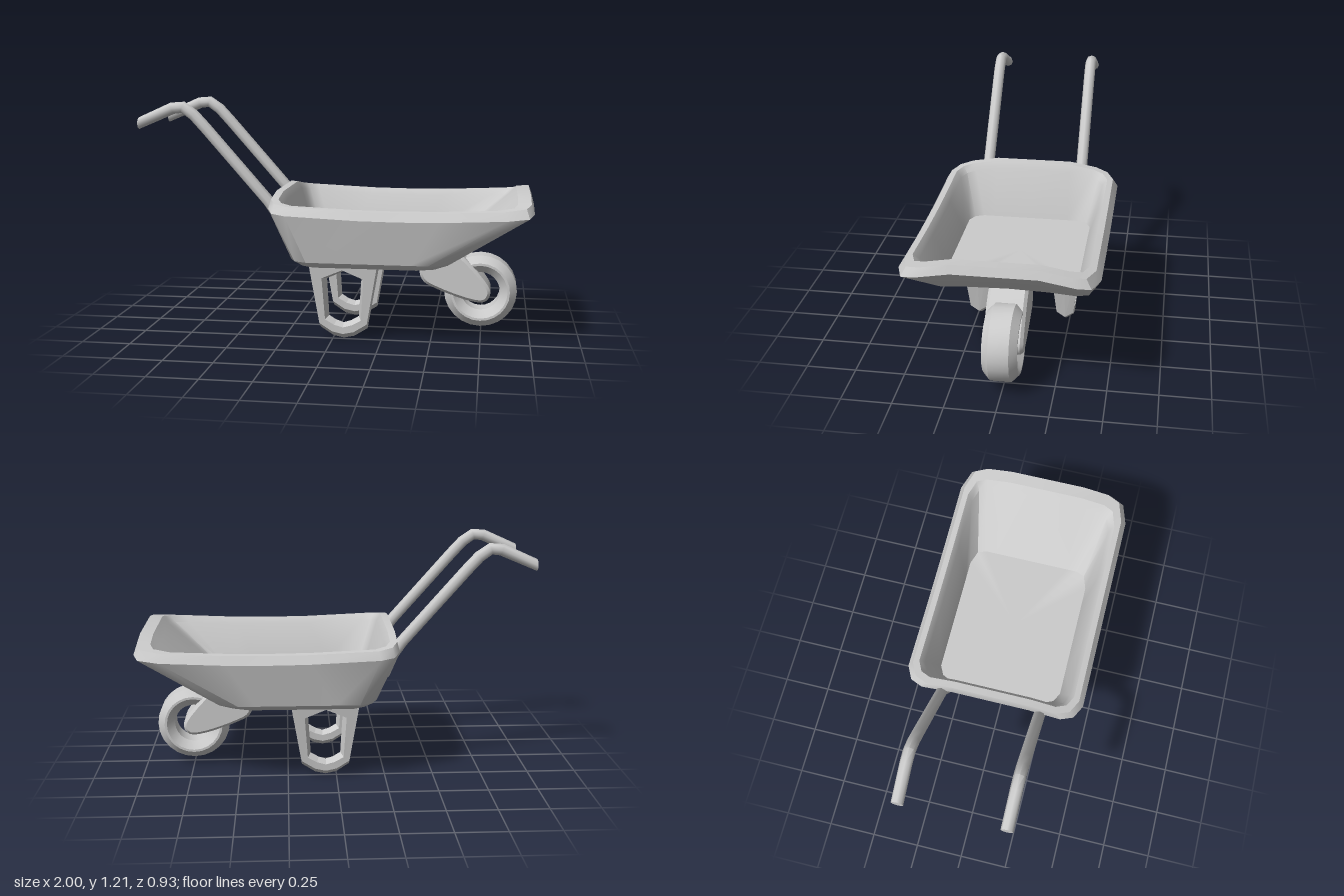
import * as THREE from 'three';
import { toCreasedNormals } from 'three/addons/utils/BufferGeometryUtils.js';

const material = new THREE.MeshStandardMaterial({ color: 0xcccccc });

// Skin a list of equal-length rings of [x, y, z]; either capped at both ends or joined in a loop.
function loft(rings, { closed = false, crease = 0.7 } = {}) {
  const n = rings[0].length, m = rings.length;
  const pos = rings.flat(2), index = [];
  for (let j = 0; j < (closed ? m : m - 1); j++) {
    for (let i = 0; i < n; i++) {
      const k = (i + 1) % n, up = (j + 1) % m;
      const a = j * n + i, b = j * n + k, c = up * n + i, d = up * n + k;
      index.push(a, c, b, b, c, d);
    }
  }
  if (!closed) {
    [0, m - 1].forEach((j) => {
      const centre = pos.length / 3;
      for (let axis = 0; axis < 3; axis++) {
        pos.push(rings[j].reduce((sum, p) => sum + p[axis], 0) / n);
      }
      for (let i = 0; i < n; i++) {
        const a = j * n + i, b = j * n + (i + 1) % n;
        index.push(centre, ...(j === 0 ? [a, b] : [b, a]));
      }
    });
  }
  const geo = new THREE.BufferGeometry();
  geo.setAttribute('position', new THREE.Float32BufferAttribute(pos, 3));
  geo.setIndex(index);
  return toCreasedNormals(geo, crease);
}

function part(name, geometry) {
  const mesh = new THREE.Mesh(geometry, material);
  mesh.name = name;
  return mesh;
}

// Chamfered rectangle from x0 to x1, half width w, with height given by y(x, z)
function tubRing(x0, x1, w, c, y) {
  const mid = (x0 + x1) / 2;
  const half = [
    [x1, 0], [x1, 0.2], [x1, w - c], [x1 - c * 0.25, w - c * 0.35], [x1 - c * 1.3, w],
    [mid + 0.2, w], [mid, w], [mid - 0.2, w],
    [x0 + c, w], [x0 + c * 0.3, w - c * 0.35], [x0, w - c], [x0, 0.2], [x0, 0],
  ];
  const mirrored = half.slice(1, -1).reverse().map(([x, z]) => [x, -z]);
  return [...half, ...mirrored].map(([x, z]) => [x, y(x, z), z]);
}

function makeTub() {
  const clamp = THREE.MathUtils.clamp;
  // The rim sags along the sides and rises at the middle of both ends
  const rim = (x, z) => 0.69 + 0.025 * ((x - 0.34) / 0.65) ** 2
    + 0.04 * clamp((0.43 - Math.abs(z)) / 0.23, 0, 1);
  const base = (x, z) => 0.43 - 0.035 * clamp((Math.abs(z) - 0.13) / 0.23, 0, 1);
  return loft([
    tubRing(-0.16, 0.54, 0.375, 0.08, base),
    tubRing(-0.2, 0.61, 0.42, 0.09, (x, z) => base(x, z) * 0.5 + 0.23),
    tubRing(-0.308, 1.0, 0.465, 0.1, (x, z) => rim(x, z) - 0.042),
    tubRing(-0.298, 0.985, 0.44, 0.1, rim),
    tubRing(-0.262, 0.92, 0.41, 0.08, rim),
    tubRing(-0.24, 0.885, 0.385, 0.07, (x, z) => rim(x, z) - 0.035),
    tubRing(-0.17, 0.62, 0.33, 0.07, () => 0.46),
  ]);
}

// Bent round bar in the xy plane
function makeHandle() {
  const path = [
    [-1, 1.095], [-0.82, 1.173], [-0.765, 1.178], [-0.71, 1.14], [-0.65, 1.075],
    [-0.33, 0.71], [-0.285, 0.645], [-0.24, 0.54],
  ].map(([x, y]) => new THREE.Vector2(x, y));
  const sides = 8, r = 0.03;
  return loft(path.map((p, j) => {
    const before = path[Math.max(j - 1, 0)], after = path[Math.min(j + 1, path.length - 1)];
    const t = after.clone().sub(before).normalize();
    // Keep the grip end upright
    if (j === 0) t.set(1, 0);
    return Array.from({ length: sides }, (_, i) => {
      const a = (i / sides) * Math.PI * 2;
      return [p.x - t.y * Math.cos(a) * r, p.y + t.x * Math.cos(a) * r, -Math.sin(a) * r];
    });
  }), { crease: 0.9 });
}

// Tapered leg with a hexagonal opening, ridged at the foot and inside the opening
function makeLeg() {
  const outer = [
    [-0.122, 0.44], [0.055, 0.44], [0.24, 0.44], [0.178, 0.055],
    [0.11, 0.012], [0.055, 0], [0, 0.012], [-0.066, 0.055],
  ];
  const hole = [
    [-0.05, 0.325], [0.055, 0.37], [0.163, 0.325], [0.148, 0.105],
    [0.1, 0.078], [0.055, 0.065], [0.01, 0.078], [-0.036, 0.105],
  ];
  const thick = (y) => 0.042 + (Math.max(y, 0.06) - 0.06) * 0.106;
  const rings = outer.map(([x, y], i) => {
    const [hx, hy] = hole[i];
    const faceY = i > 2 ? y + 0.03 : y;
    const t = thick(faceY), ht = thick(hy);
    const mx = hx + (0.055 - hx) * 0.17, my = hy + (0.21 - hy) * 0.12;
    return [
      [x, faceY, t], [x, y, 0], [x, faceY, -t],
      [hx, hy, -ht], [mx, my, 0], [hx, hy, ht],
    ];
  });
  return loft(rings, { closed: true, crease: 0.2 });
}

// Thick rounded arm joining the wheel to the tub
function makeArm() {
  const bevel = 0.015, depth = 0.166;
  const outline = [
    [0.445, 0.34], [0.46, 0.29], [0.52, 0.255], [0.71, 0.192], [0.765, 0.193],
    [0.782, 0.225], [0.765, 0.265], [0.62, 0.42], [0.56, 0.442], [0.48, 0.425],
  ].map(([x, y]) => new THREE.Vector3(x, y, 0));
  const curve = new THREE.CatmullRomCurve3(outline, true);
  const shape = new THREE.Shape(curve.getPoints(36).slice(0, -1).map((p) => new THREE.Vector2(p.x, p.y)));
  const geo = new THREE.ExtrudeGeometry(shape, {
    depth, bevelEnabled: true, bevelSize: bevel, bevelThickness: bevel, bevelSegments: 1,
  });
  geo.translate(0, 0, -depth / 2);
  return toCreasedNormals(geo, 0.6);
}

// Ring-shaped wheel with bevelled tread, open in the middle
function makeWheel() {
  const profile = [
    [0.1, -0.05], [0.14, -0.085], [0.152, -0.085], [0.188, -0.05],
    [0.188, 0.05], [0.152, 0.085], [0.14, 0.085], [0.1, 0.05], [0.1, -0.05],
  ].map(([r, h]) => new THREE.Vector2(r, h));
  const geo = new THREE.LatheGeometry(profile, 24);
  geo.rotateX(Math.PI / 2);
  return toCreasedNormals(geo, 0.5);
}

export function createModel() {
  const model = new THREE.Group();
  model.name = 'wheelbarrow';
  model.add(part('tub', makeTub()));

  const handle = makeHandle(), leg = makeLeg();
  [['left', 1], ['right', -1]].forEach(([, s]) => {
    const side = s > 0 ? 'front' : 'back';
    const bar = part(side + 'Handle', handle);
    bar.position.z = 0.258 * s;
    const support = part(side + 'Leg', leg);
    support.position.z = 0.232 * s;
    model.add(bar, support);
  });

  model.add(part('wheelArm', makeArm()));
  const wheel = part('wheel', makeWheel());
  wheel.position.set(0.745, 0.228, 0);
  model.add(wheel);
  return model;
}
